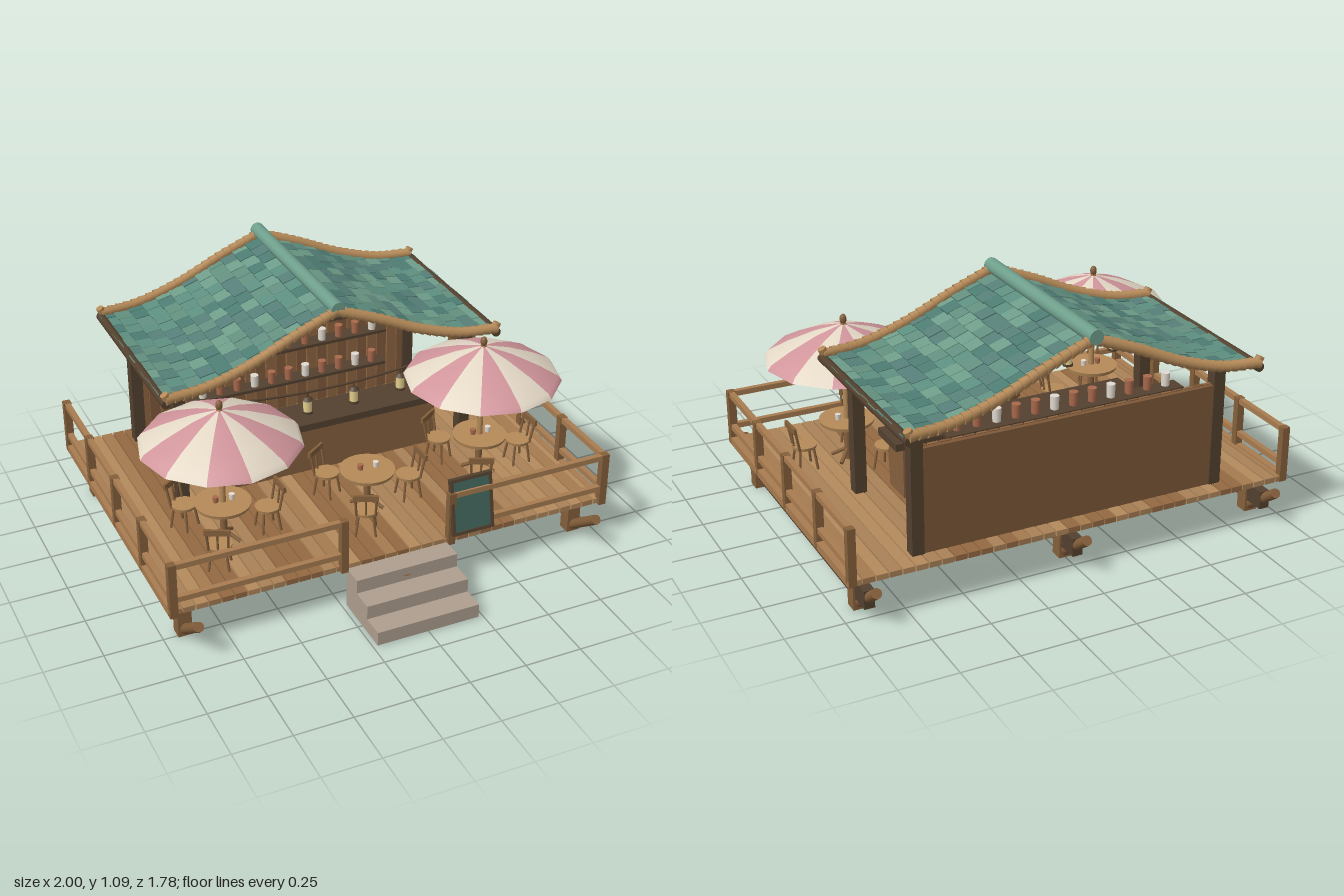
import * as THREE from 'three';

const V = (x, y, z) => new THREE.Vector3(x, y, z);
const cache = {};
const mat = (color, extra = {}) => cache[color] ??= new THREE.MeshStandardMaterial({ color, ...extra });
const WOOD = 0xa87c50, MID = 0x85603c, DARK = 0x54412f, BAMBOO = 0xb58a58;
const PLANKS = [0xa67b50, 0xb48a5c, 0x946a42, 0xa98258];
const TILES = [0x5d8f80, 0x4d7c72, 0x6f9d8a, 0x567f78, 0x638f7f];

let seed = 7;
const rnd = () => (seed = (seed * 16807) % 2147483647) / 2147483647;
const pick = (list) => list[Math.floor(rnd() * list.length)];

function add(parent, name, geo, color, x = 0, y = 0, z = 0) {
  const m = new THREE.Mesh(geo, mat(color));
  m.name = name;
  m.position.set(x, y, z);
  parent.add(m);
  return m;
}
const box = (p, name, w, h, d, color, x, y, z) => add(p, name, new THREE.BoxGeometry(w, h, d), color, x, y, z);
const cyl = (p, name, rt, rb, h, color, x, y, z, n = 12) => add(p, name, new THREE.CylinderGeometry(rt, rb, h, n), color, x, y, z);
// Round bar between two points
function rod(p, name, a, b, r, color, r2 = r, n = 10) {
  const m = cyl(p, name, r2, r, a.distanceTo(b), color, 0, 0, 0, n);
  m.position.copy(a).add(b).multiplyScalar(0.5);
  m.quaternion.setFromUnitVectors(V(0, 1, 0), b.clone().sub(a).normalize());
  return m;
}
function group(parent, name, x = 0, y = 0, z = 0) {
  const g = new THREE.Group();
  g.name = name;
  g.position.set(x, y, z);
  parent.add(g);
  return g;
}

function buildDeck(root) {
  const g = group(root, 'deck');
  const n = 36, pitch = 2 / n;
  for (let i = 0; i < n; i++)
    box(g, 'deckPlank', pitch - 0.006, 0.024, 1.4, PLANKS[Math.floor(rnd() * 4)], -1 + pitch * (i + 0.5), 0.203, -0.1);
  for (const x of [-0.91, 0, 0.91]) {
    box(g, 'floorBeam', 0.045, 0.08, 1.25, DARK, x, 0.105, -0.155);
    for (const [z, s] of [[0.487, 1], [-0.655, -1]]) {
      box(g, 'stiltPost', 0.06, 0.185, 0.058, MID, x, 0.103, z);
      rod(g, 'braceLog', V(x, 0.025, z), V(x, 0.172, z + s * 0.2), 0.022, MID);
    }
  }
  // Stone steps
  for (let i = 0; i < 3; i++)
    box(g, 'step', 0.46, 0.062, 0.3 - 0.1 * i, 0xaf9f8f, 0, 0.04 + 0.062 * i, 0.745 - 0.05 * i);
}

function buildRailing(root) {
  const g = group(root, 'railing');
  for (const s of [-1, 1]) {
    for (const z of [0.6, 0.25, -0.095, -0.45, -0.785])
      box(g, 'railPost', 0.034, 0.25, 0.032, MID, s * 0.983, 0.313, z);
    box(g, 'gatePost', 0.032, 0.25, 0.032, MID, s * 0.245, 0.313, 0.6);
    for (const y of [0.425, 0.27]) {
      box(g, 'sideRail', 0.024, 0.024, 1.39, WOOD, s * 0.983, y, -0.093);
      box(g, 'frontRail', 0.74, 0.024, 0.024, WOOD, s * 0.614, y, 0.6);
    }
    box(g, 'deckEdge', 0.03, 0.034, 1.4, WOOD, s * 0.985, 0.203, -0.095);
  }
}

function buildBar(root) {
  const g = group(root, 'bar');
  for (const x of [-0.68, 0.68]) {
    for (const z of [-0.125, -0.705]) box(g, 'cornerPost', 0.052, 0.56, 0.052, DARK, x, 0.49, z);
    rod(g, 'roofBeam', V(x, 0.755, -0.1), V(x, 0.755, -0.73), 0.014, BAMBOO);
  }
  // Back wall with vertical boards on the inside
  box(g, 'backWall', 1.36, 0.455, 0.02, 0x7d5838, 0, 0.44, -0.715);
  for (let i = 0; i < 26; i++)
    box(g, 'wallBoard', 0.046, 0.455, 0.014, i % 2 ? 0x80593a : 0x8d6541, -0.65 + 0.052 * i, 0.443, -0.698);
  // Counter
  box(g, 'counterBody', 1.08, 0.23, 0.145, 0x87603d, 0, 0.327, -0.2);
  box(g, 'counterTop', 1.15, 0.032, 0.185, DARK, 0, 0.455, -0.19);
  // Shelves with cups
  [0.668, 0.555, 0.385].forEach((y, row) => {
    box(g, 'shelf', 1.06, 0.014, 0.08, DARK, 0, y, -0.653);
    for (let i = 0; i < 12; i++)
      cyl(g, 'shelfCup', 0.019, 0.017, 0.058, (i + row) % 3 ? 0xa9694c : 0xe2dbd0, -0.47 + 0.0855 * i, y + 0.036, -0.645);
  });
  // Lantern string
  const ropeY = (x) => 0.65 + 0.15 * x * x;
  const pts = [];
  for (let i = 0; i <= 12; i++) pts.push(V(-0.68 + 0.1133 * i, ropeY(-0.68 + 0.1133 * i), -0.07));
  add(g, 'lanternRope', new THREE.TubeGeometry(new THREE.CatmullRomCurve3(pts), 36, 0.005, 6), DARK);
  for (const x of [-0.56, -0.335, -0.11, 0.11, 0.335, 0.56]) {
    const l = group(g, 'lantern', x, ropeY(x), -0.07);
    cyl(l, 'lanternHook', 0.004, 0.004, 0.03, DARK, 0, -0.012, 0, 6);
    cyl(l, 'lanternCap', 0.012, 0.026, 0.014, DARK, 0, -0.03, 0, 8);
    cyl(l, 'lanternGlass', 0.02, 0.02, 0.056, 0xe6d08e, 0, -0.065, 0, 8);
    cyl(l, 'lanternBase', 0.024, 0.024, 0.01, DARK, 0, -0.096, 0, 8);
  }
}

function buildRoof(root) {
  const g = group(root, 'roof');
  const profile = new THREE.CatmullRomCurve3(
    [[0, 1.035], [0.2, 0.955], [0.4, 0.865], [0.6, 0.805], [0.77, 0.79]].map(([x, y]) => V(x, y, 0)));
  const rows = 12, cols = 11, pitch = 0.0755;
  for (const s of [-1, 1]) {
    // Overlapping shingles, every other course shifted by half a tile
    for (let i = 0; i < rows; i++) {
      const t = (i + 0.5) / rows, p = profile.getPointAt(t), d = profile.getTangentAt(t);
      const shift = i % 2 ? 0.5 : 0;
      for (let j = 0; j < cols + (i % 2 ? 1 : 0); j++) {
        const z0 = Math.max(-0.85, -0.85 + (j - shift) * pitch);
        const z1 = Math.min(-0.02, -0.85 + (j + 1 - shift) * pitch);
        const tile = box(g, 'roofTile', 0.088 + 0.012 * rnd(), 0.011, z1 - z0 - 0.003, pick(TILES),
          s * p.x, p.y + 0.004 * rnd(), (z0 + z1) / 2);
        tile.rotation.z = s * (Math.atan2(d.y, d.x) + 0.09);
      }
    }
    // Segmented bamboo along both gables
    for (const z of [-0.005, -0.865]) {
      const n = 22;
      for (let i = 0; i < n; i++) {
        const a = profile.getPointAt(i / n), b = profile.getPointAt((i + 1) / n);
        rod(g, 'gableBamboo', V(s * a.x, a.y + 0.014, z), V(s * b.x, b.y + 0.014, z), 0.019, BAMBOO, 0.025, 12);
      }
      rod(g, 'gableTip', V(s * 0.755, 0.79, z), V(s * 0.775, 0.83, z), 0.018, BAMBOO);
    }
    rod(g, 'eavePole', V(s * 0.77, 0.785, 0.005), V(s * 0.77, 0.785, -0.875), 0.02, DARK);
  }
  rod(g, 'ridgePole', V(0, 1.062, 0.01), V(0, 1.062, -0.89), 0.031, 0x6f9f8c, 0.031, 16);
}

function buildChair(parent, x, z) {
  const c = group(parent, 'chair', x, 0.215, z);
  c.rotation.y = Math.atan2(x, z); // back points away from the table
  cyl(c, 'seat', 0.055, 0.052, 0.014, BAMBOO, 0, 0.105, 0, 16);
  for (const sx of [-1, 1]) {
    for (const sz of [-1, 1])
      rod(c, 'chairLeg', V(sx * 0.042, 0, sz * 0.042), V(sx * 0.03, 0.1, sz * 0.03), 0.006, MID, 0.006, 6);
    rod(c, 'backPost', V(sx * 0.04, 0.1, 0.036), V(sx * 0.045, 0.205, 0.056), 0.006, MID, 0.006, 6);
  }
  rod(c, 'backSpindle', V(0, 0.1, 0.046), V(0, 0.2, 0.058), 0.005, MID, 0.005, 6);
  box(c, 'backRest', 0.108, 0.026, 0.012, MID, 0, 0.2, 0.057);
}

function buildTable(root, x, z) {
  const g = group(root, 'tableSet', x, 0, z);
  cyl(g, 'tableTop', 0.12, 0.116, 0.016, BAMBOO, 0, 0.398, 0, 24);
  cyl(g, 'tableLeg', 0.014, 0.016, 0.18, MID, 0, 0.305, 0);
  for (let i = 0; i < 4; i++) {
    const a = (i + 0.5) * Math.PI / 2;
    rod(g, 'tableFoot', V(0.075 * Math.cos(a), 0.222, 0.075 * Math.sin(a)), V(0, 0.265, 0), 0.009, MID, 0.009, 6);
  }
  cyl(g, 'cup', 0.013, 0.011, 0.026, 0xe2dbd0, 0.04, 0.418, 0);
  cyl(g, 'cup', 0.013, 0.011, 0.026, 0xa9694c, -0.03, 0.418, -0.005);
  for (const [cx, cz] of [[-0.115, -0.165], [-0.085, 0.17], [0.2, -0.005]]) buildChair(g, cx, cz);
}

function buildUmbrella(root, x, z) {
  const g = group(root, 'umbrella', x, 0, z);
  cyl(g, 'umbrellaPole', 0.013, 0.013, 0.63, BAMBOO, 0, 0.53, 0);
  const finial = add(g, 'finial', new THREE.SphereGeometry(0.015, 10, 8), MID, 0, 0.862, 0);
  finial.scale.y = 1.5;
  const profile = [[0.001, 0.843], [0.12, 0.808], [0.24, 0.757], [0.325, 0.712], [0.342, 0.69]]
    .map(([r, y]) => new THREE.Vector2(r, y));
  const step = Math.PI / 6;
  for (let i = 0; i < 12; i++) {
    const panel = add(g, 'canopyPanel', new THREE.LatheGeometry(profile, 1, i * step, step), i % 2 ? 0xd0959b : 0xe4d8c6);
    panel.material.side = THREE.DoubleSide;
    const a = i * step, c = Math.cos(a), s = Math.sin(a);
    rod(g, 'umbrellaRib', V(0.02 * s, 0.828, 0.02 * c), V(0.33 * s, 0.698, 0.33 * c), 0.004, DARK, 0.004, 5);
  }
}

function buildSign(root) {
  const g = group(root, 'menuBoard', 0.335, 0.365, 0.597);
  g.rotation.x = -0.18;
  box(g, 'boardPanel', 0.17, 0.23, 0.012, 0x40655c, 0, 0, 0.012);
  for (const s of [-1, 1]) {
    box(g, 'boardSide', 0.014, 0.25, 0.022, DARK, s * 0.09, 0, 0.012);
    box(g, 'boardEdge', 0.194, 0.014, 0.022, DARK, 0, s * 0.12, 0.012);
  }
}

export function createModel() {
  const root = new THREE.Group();
  root.name = 'terraceBar';
  buildDeck(root);
  buildRailing(root);
  buildBar(root);
  buildRoof(root);
  for (const [x, z] of [[-0.62, 0.22], [0.03, 0.24], [0.605, 0.18]]) buildTable(root, x, z);
  buildUmbrella(root, -0.62, 0.22);
  buildUmbrella(root, 0.605, 0.18);
  buildSign(root);
  return root;
}
